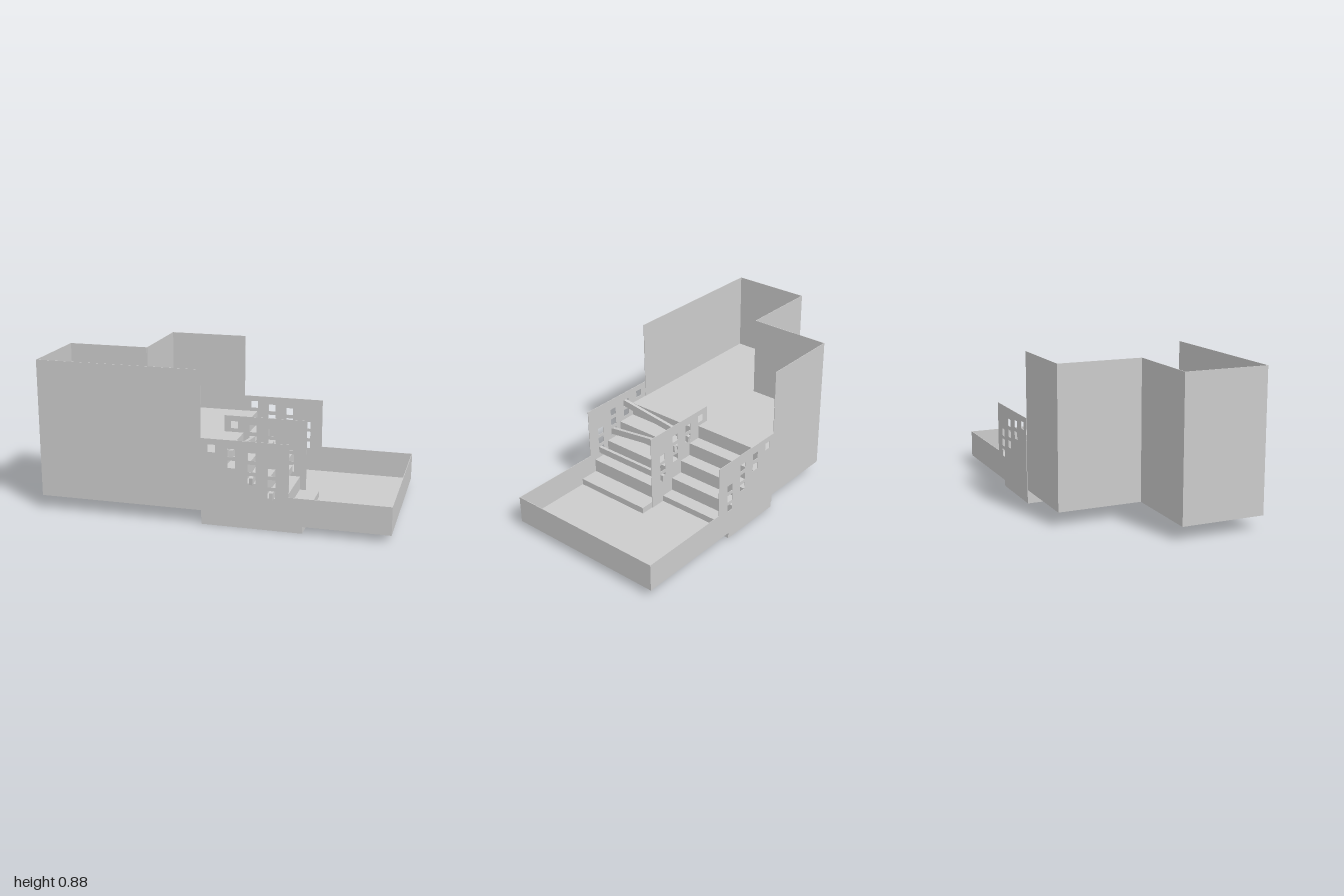
import * as THREE from 'three';

const material = new THREE.MeshStandardMaterial({ color: 0xcccccc, flatShading: true, side: THREE.DoubleSide });
const T = 0.003; // wall thickness

function add(group, name, geometry, x = 0, y = 0, z = 0) {
  const mesh = new THREE.Mesh(geometry, material);
  mesh.name = name;
  mesh.position.set(x, y, z);
  group.add(mesh);
  return mesh;
}

// Box given by its lower and upper corners
function block(group, name, x0, x1, y0, y1, z0, z1) {
  return add(group, name, new THREE.BoxGeometry(x1 - x0, y1 - y0, z1 - z0),
    (x0 + x1) / 2, (y0 + y1) / 2, (z0 + z1) / 2);
}

// Outline in x and y, extruded from z0 to z1
function extrude(points, holes, z0, z1) {
  const shape = new THREE.Shape(points.map(([x, y]) => new THREE.Vector2(x, y)));
  shape.holes = holes;
  const geometry = new THREE.ExtrudeGeometry(shape, { depth: z1 - z0, bevelEnabled: false });
  return geometry.translate(0, 0, z0);
}

// Square window openings: columns of x and the heights in each
const WINDOWS = [
  [0.01, [0.443]],
  [0.123, [0.427, 0.361]],
  [0.236, [0.412, 0.347, 0.283]],
  [0.347, [0.332, 0.27, 0.207]],
];

function windowHoles() {
  const h = 0.0215;
  return WINDOWS.flatMap(([x, heights]) => heights.map((y) => new THREE.Path([
    new THREE.Vector2(x - h, y - h), new THREE.Vector2(x - h, y + h),
    new THREE.Vector2(x + h, y + h), new THREE.Vector2(x + h, y - h),
  ])));
}

// Stair profile falling from the upper floor in equal risers
function stairs(group, name, firstEdge, tread, z0, z1) {
  const points = [[-0.05, 0], [-0.05, 0.4]];
  for (let i = 0; i < 5; i++) {
    const x = firstEdge + i * tread;
    points.push([x, 0.4 - i * 0.08], [x, 0.32 - i * 0.08]);
  }
  add(group, name, extrude(points, [], z0, z1));
}

// Bar running in the z direction between two heights
function bar(group, x, zFront, yFront, zBack, yBack) {
  const dz = zFront - zBack, dy = yFront - yBack;
  const mesh = add(group, 'crossBar', new THREE.BoxGeometry(0.02, 0.039, Math.hypot(dz, dy)),
    x, (yFront + yBack) / 2, (zFront + zBack) / 2);
  mesh.rotation.x = -Math.atan2(dy, dz);
}

export function createModel() {
  const model = new THREE.Group();

  // Raised L-shaped platform
  const platform = [[-1, -0.467], [-0.05, -0.467], [-0.05, 0.492], [-0.52, 0.492], [-0.52, 0.008], [-1, 0.008]];
  const slab = extrude(platform, [], 0.08, 0.4);
  slab.rotateX(-Math.PI / 2);
  add(model, 'upperPlatform', slab);

  // Tall walls around the platform, open towards the stairs
  const tall = [
    ['tallFrontWall', -1, -0.05, 0.467, 0.467 + T],
    ['tallEndWall', -1, -1 + T, -0.008, 0.467],
    ['tallInnerWall', -1, -0.52, -0.008, -0.008 + T],
    ['tallSideWall', -0.52, -0.52 + T, -0.492, -0.008],
    ['tallBackWall', -0.52, -0.05, -0.492, -0.492 + T],
  ];
  for (const [name, x0, x1, z0, z1] of tall) block(model, name, x0, x1, 0.08, 0.875, z0, z1);

  // Two flights, the front one with deeper treads
  stairs(model, 'frontStairs', 0.067, 0.113, -0.008, 0.469);
  stairs(model, 'backStairs', 0.03, 0.08, -0.491, -0.014);

  // Lower yard
  block(model, 'yardFloor', 0.3, 1, 0.04, 0.04 + T, -0.495, 0.47);
  block(model, 'yardEndWall', 1 - T, 1, 0.04, 0.2, -0.495, 0.472);

  // Windowed side walls, stepping down to the yard
  const side = [[-0.05, 0.04], [1, 0.04], [1, 0.2], [0.442, 0.2], [0.442, 0.497], [-0.05, 0.497]];
  add(model, 'frontWindowWall', extrude(side, windowHoles(), 0.47, 0.47 + T));
  add(model, 'backWindowWall', extrude(side, windowHoles(), -0.496, -0.496 + T));

  // Windowed wall between the flights
  const middle = [[-0.05, 0.04], [0.442, 0.04], [0.442, 0.497], [-0.05, 0.497]];
  add(model, 'middleWindowWall', extrude(middle, windowHoles(), -0.013, -0.013 + T));

  // Bars threaded through the windows
  bar(model, 0.123, 0.487, 0.425, -0.023, 0.358);
  bar(model, 0.238, 0.497, 0.28, -0.018, 0.346);
  bar(model, 0.348, 0.488, 0.202, -0.024, 0.202);

  return model;
}
